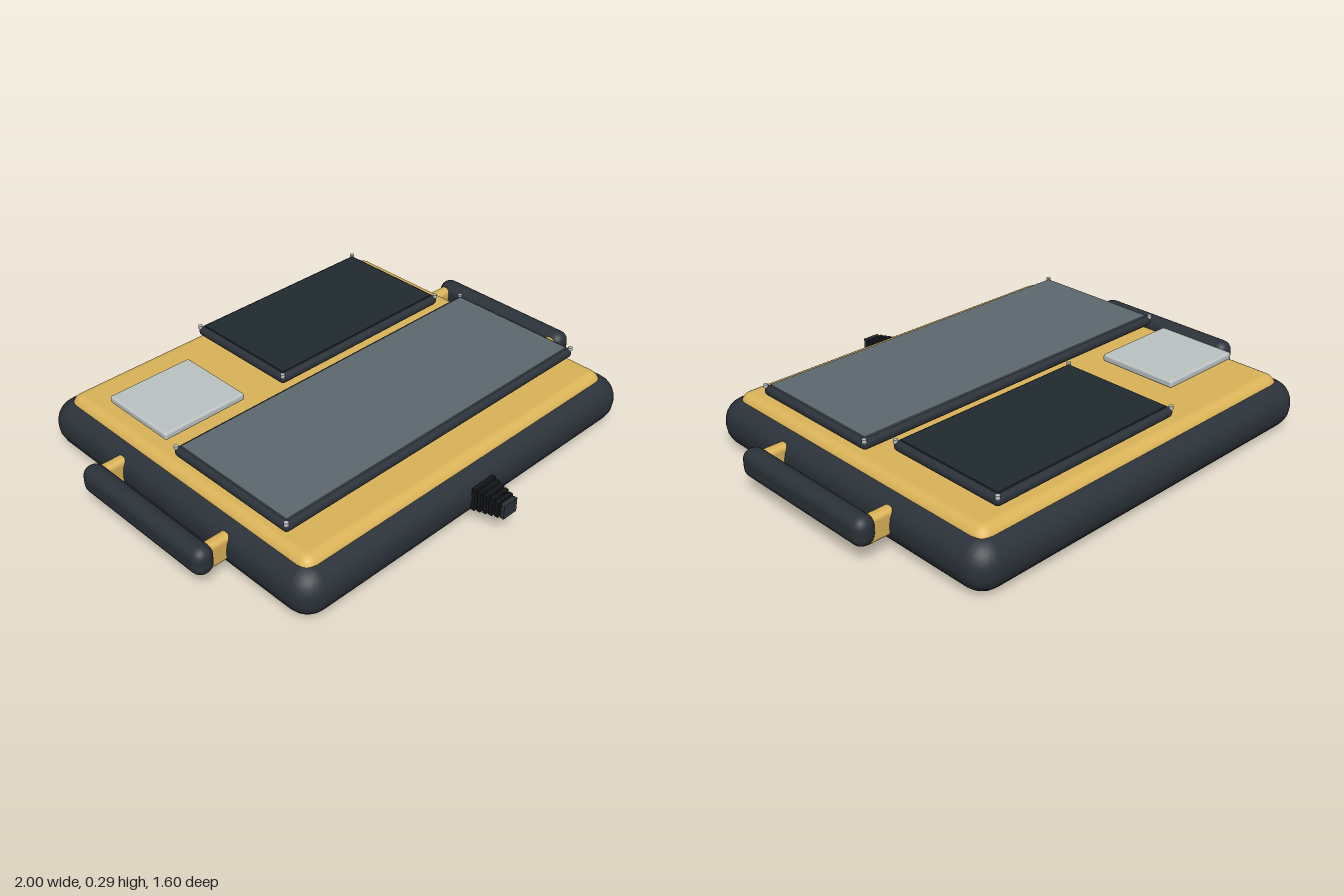
import * as THREE from 'three';
import { RoundedBoxGeometry } from 'three/addons/geometries/RoundedBoxGeometry.js';

const mat = (color) => new THREE.MeshStandardMaterial({ color });

export function createModel() {
  const model = new THREE.Group();
  model.name = 'controlPanel';

  const slate = mat(0x2b3239);
  const black = mat(0x15181b);
  const yellow = mat(0xdcb459);
  const silver = mat(0xbcc4c3);
  const greyGlass = mat(0x5c6870);
  const darkGlass = mat(0x202b30);

  const add = (name, geometry, material, parent = model) => {
    const mesh = new THREE.Mesh(geometry, material);
    mesh.name = name;
    parent.add(mesh);
    return mesh;
  };

  // Box given by its [min, max] ranges; a radius rounds its edges
  const block = (name, [x0, x1], [y0, y1], [z0, z1], radius, material, parent) => {
    const size = [x1 - x0, y1 - y0, z1 - z0];
    const geometry = radius
      ? new RoundedBoxGeometry(...size, 3, radius)
      : new THREE.BoxGeometry(...size);
    const mesh = add(name, geometry, material, parent);
    mesh.position.set((x0 + x1) / 2, (y0 + y1) / 2, (z0 + z1) / 2);
    return mesh;
  };

  // Rubber housing and the raised yellow deck set into it
  block('housing', [-0.86, 0.86], [0, 0.2], [-0.8, 0.67], 0.095, slate);
  block('deck', [-0.8, 0.8], [0.11, 0.226], [-0.74, 0.61], 0.05, yellow);

  // Screens: rounded bezel, glass panel, four corner screws
  const screen = (name, [x0, x1], [z0, z1], glass) => {
    const group = new THREE.Group();
    group.name = name;
    model.add(group);
    block('bezel', [x0, x1], [0.246, 0.285], [z0, z1], 0.018, slate, group);
    const rim = 0.022;
    block('glass', [x0 + rim, x1 - rim], [0.27, 0.291], [z0 + rim, z1 - rim], 0, glass, group);
    for (const x of [x0 + 0.009, x1 - 0.009]) {
      for (const z of [z0 + 0.009, z1 - 0.009]) {
        const screw = add('screw', new THREE.CylinderGeometry(0.009, 0.009, 0.014, 10), silver, group);
        screw.position.set(x, 0.285, z);
      }
    }
  };
  screen('wideScreen', [-0.763, 0.763], [-0.122, 0.475], greyGlass);
  screen('smallScreen', [-0.193, 0.687], [-0.695, -0.178], darkGlass);

  // Touch pad
  block('touchPad', [-0.73, -0.357], [0.246, 0.277], [-0.549, -0.208], 0.01, silver);

  // Side handles on two yellow brackets each
  for (const side of [-1, 1]) {
    const handle = new THREE.Group();
    handle.name = side > 0 ? 'leftHandle' : 'rightHandle';
    model.add(handle);
    const span = (a, b) => (side > 0 ? [a, b] : [-b, -a]);
    block('grip', span(0.914, 1), [0.07, 0.185], [-0.382, 0.3], 0.042, slate, handle);
    for (const z of [-0.338, 0.249]) {
      block('bracket', span(0.82, 0.956), [0.064, 0.167], [z - 0.025, z + 0.025], 0.02, yellow, handle);
    }
  }

  // Cable strain relief: tapering square ribs on a core
  const relief = new THREE.Group();
  relief.name = 'strainRelief';
  model.add(relief);
  block('core', [-0.03, 0.03], [0.075, 0.135], [0.64, 0.797], 0, black, relief);
  const ribs = 6;
  for (let i = 0; i < ribs; i++) {
    const half = 0.056 - i * 0.0042;
    const tall = half * 0.85;
    const z = 0.667 + i * 0.0234;
    block('rib', [-half, half], [0.106 - tall, 0.106 + tall], [z, z + 0.016], 0,
      i === ribs - 1 ? slate : black, relief);
  }

  return model;
}
